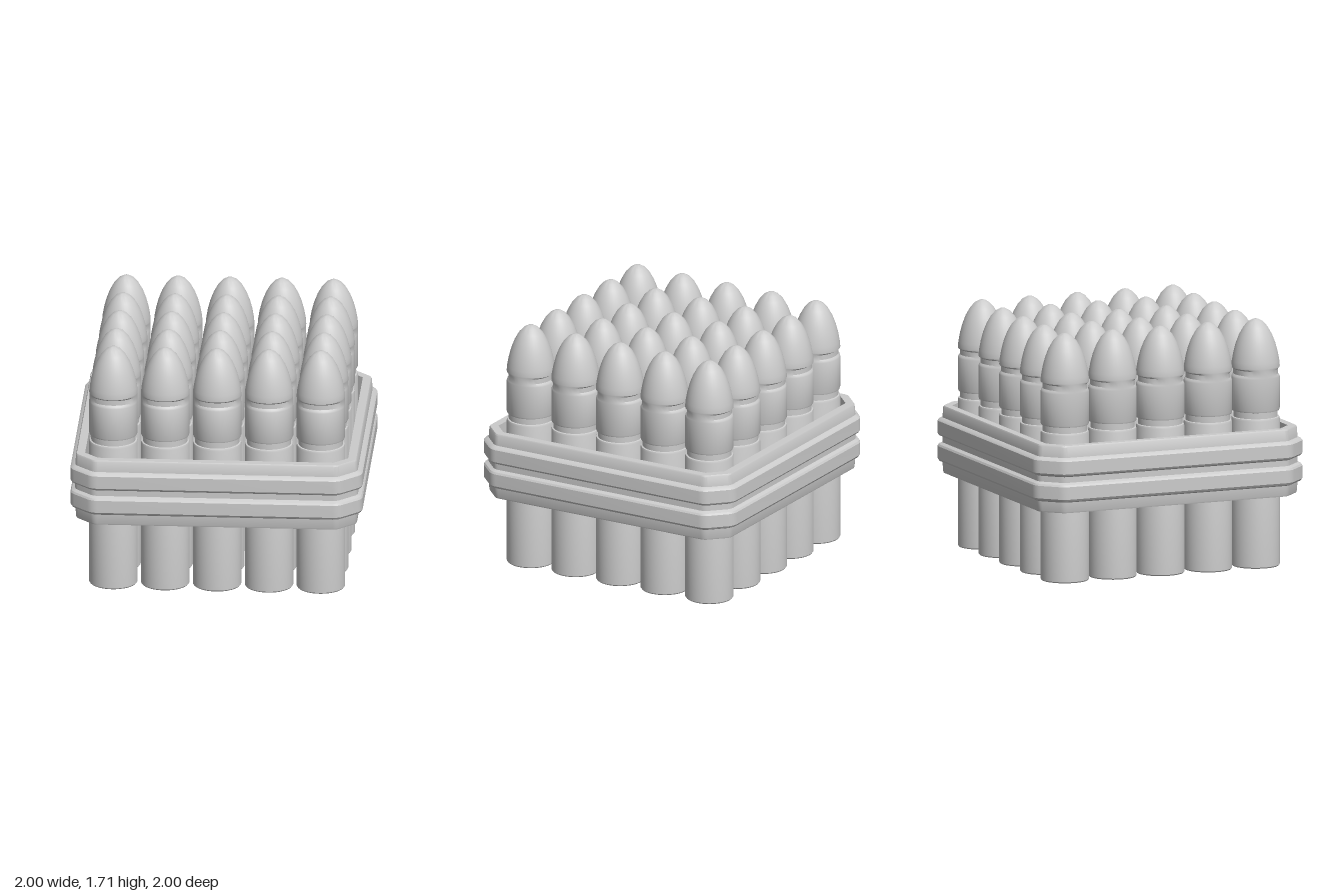
import * as THREE from 'three';
import { toCreasedNormals } from 'three/addons/utils/BufferGeometryUtils.js';

const CREASE = 0.5;
const material = new THREE.MeshStandardMaterial({ color: 0xcccccc });

// Hollow tube with a ring groove, topped by a pointed nose
function shellGeometry() {
  const profile = [
    [0, 0.95], [0.125, 0.95], [0.125, 0.01], [0.13, 0], // bore
    [0.16, 0], [0.166, 0.008], [0.166, 1.02], [0.162, 1.033], // outer wall
    [0.152, 1.036], [0.152, 1.078], [0.162, 1.08], [0.166, 1.09], // ring groove
    [0.166, 1.31], [0.1655, 1.322], [0.165, 1.332], [0.165, 1.366], [0.1655, 1.376], // side cut
    [0.166, 1.384], [0.163, 1.42], [0.152, 1.48], [0.136, 1.54], [0.113, 1.6], // nose
    [0.082, 1.655], [0.05, 1.69], [0.02, 1.707], [0, 1.71],
  ].map(([r, y]) => new THREE.Vector2(r, y));
  const geometry = new THREE.LatheGeometry(profile, 36);

  // The upper groove is cut only towards the front and back
  const p = geometry.attributes.position;
  for (let i = 0; i < p.count; i++) {
    const y = p.getY(i);
    if (y > 1.328 && y < 1.37) p.setZ(i, p.getZ(i) * 0.915);
    else if (y > 1.318 && y < 1.325) p.setZ(i, p.getZ(i) * 0.97);
  }
  return toCreasedNormals(geometry, CREASE);
}

// Eight-sided ring swept from a closed section of [offset, y] points
function frameGeometry() {
  const section = [
    [0, 0.505], [0.058, 0.505], [0.062, 0.515], [0.067, 0.58],
    [0.09, 0.59], [0.1, 0.605], [0.1, 0.692], [0.092, 0.705],
    [0.068, 0.717], [0.068, 0.757], [0.092, 0.768], [0.1, 0.78],
    [0.1, 0.868], [0.09, 0.88], [0.067, 0.89], [0.062, 0.96],
    [0.056, 0.97], [0, 0.97],
  ];
  const HALF = 0.9, FLAT = 0.805, STEPS = 4;

  // Outline points with their outward directions, going round each corner
  const outline = [];
  for (let k = 0; k < 8; k++) {
    let [x, z] = k % 2 ? [HALF, FLAT] : [FLAT, HALF];
    for (let q = 0; q < Math.floor(k / 2); q++) [x, z] = [z, -x];
    for (let s = 0; s <= STEPS; s++) {
      const a = (k + s / STEPS) * Math.PI / 4;
      outline.push([x, z, Math.sin(a), Math.cos(a)]);
    }
  }

  const positions = [], index = [], n = section.length, m = outline.length;
  for (const [x, z, nx, nz] of outline)
    for (const [d, y] of section) positions.push(x + nx * d, y, z + nz * d);
  for (let i = 0; i < m; i++) {
    for (let j = 0; j < n; j++) {
      const i2 = (i + 1) % m, j2 = (j + 1) % n;
      const a = i * n + j, b = i2 * n + j, c = i2 * n + j2, d = i * n + j2;
      index.push(a, b, d, b, c, d);
    }
  }
  const geometry = new THREE.BufferGeometry();
  geometry.setAttribute('position', new THREE.Float32BufferAttribute(positions, 3));
  geometry.setIndex(index);
  return toCreasedNormals(geometry, CREASE);
}

export function createModel() {
  const model = new THREE.Group();
  model.name = 'shellRack';

  const frame = new THREE.Mesh(frameGeometry(), material);
  frame.name = 'frame';
  model.add(frame);

  // Five by five block of shells
  const shells = new THREE.Group();
  shells.name = 'shells';
  const geometry = shellGeometry(), pitch = 0.355;
  for (let row = -2; row <= 2; row++) {
    for (let col = -2; col <= 2; col++) {
      const shell = new THREE.Mesh(geometry, material);
      shell.name = 'shell';
      shell.position.set(col * pitch - 0.003, 0, row * pitch - 0.01);
      shells.add(shell);
    }
  }
  model.add(shells);
  return model;
}
